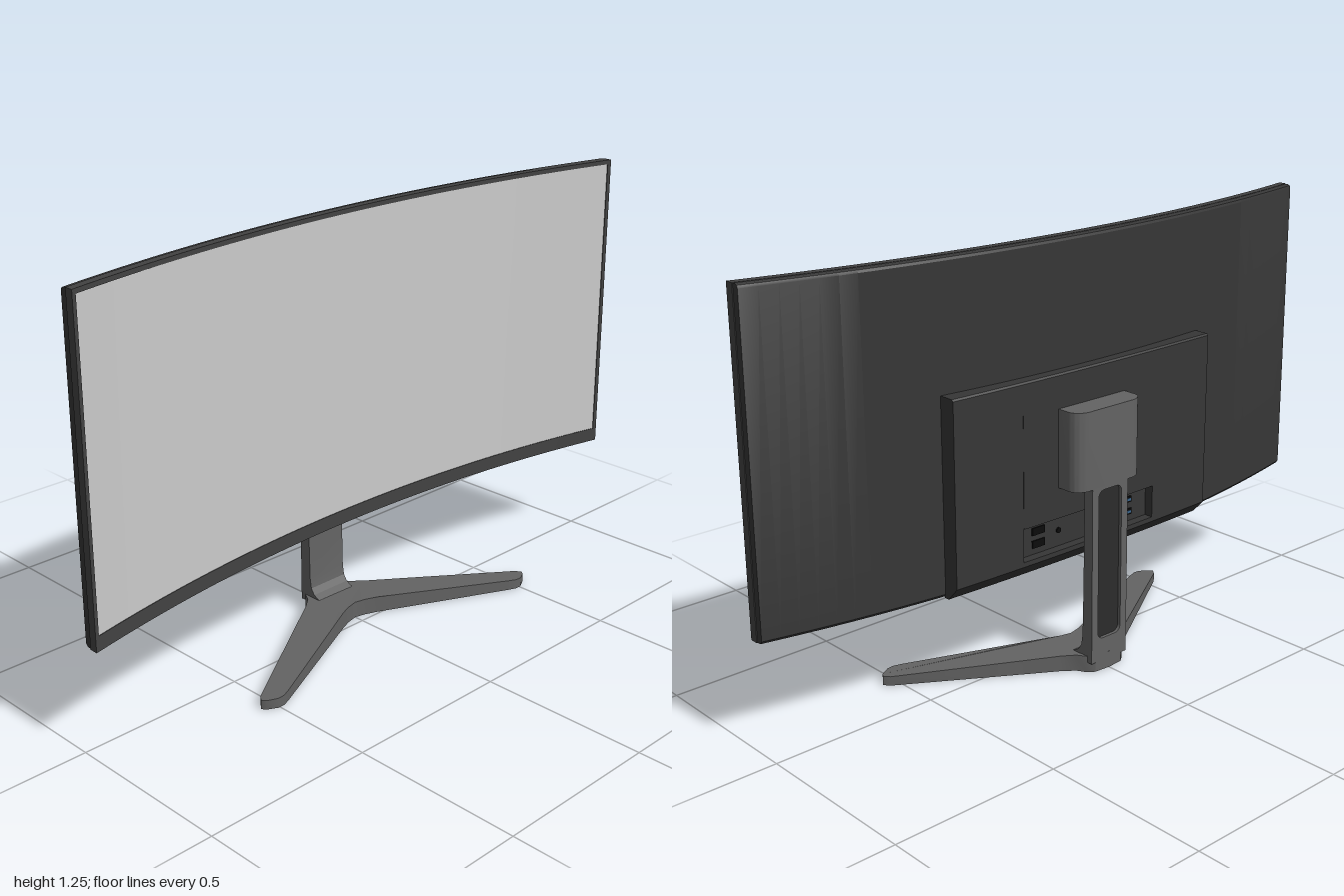
import * as THREE from 'three';
import { toCreasedNormals } from 'three/addons/utils/BufferGeometryUtils.js';

const material = (color) => new THREE.MeshStandardMaterial({ color });
const MAT = {
  screen: material(0xcccccc), bezel: material(0x424242), shell: material(0x363636),
  stand: material(0x636363), dark: material(0x2c2c2c), port: material(0x0c0c0c), blue: material(0x3c6a94),
};

// Circular curve of the display: forward offset at distance x from the middle
const RADIUS = 4.4;
const bend = (x) => RADIUS - Math.sqrt(RADIUS * RADIUS - x * x);

const shapeOf = (points) => new THREE.Shape(points.map(([x, y]) => new THREE.Vector2(x, y)));

function add(parent, name, geometry, mat) {
  const mesh = new THREE.Mesh(geometry, mat);
  mesh.name = name;
  parent.add(mesh);
  return mesh;
}

// Sweeps a [z, y] profile from x0 to x1, following the display curve scaled by amount
function sweep(profile, x0, x1, amount = 0, steps = 1) {
  const geometry = new THREE.ExtrudeGeometry(shapeOf(profile.map(([z, y]) => [-z, y])),
    { depth: x1 - x0, steps, bevelEnabled: false });
  geometry.rotateY(Math.PI / 2).translate(x0, 0, 0);
  const p = geometry.attributes.position;
  for (let i = 0; i < p.count; i++) p.setZ(i, p.getZ(i) + amount * bend(p.getX(i)));
  return toCreasedNormals(geometry, 0.4);
}

const rect = (z0, z1, y0, y1) => [[z0, y0], [z1, y0], [z1, y1], [z0, y1]];

function roundedRect(target, x0, x1, y0, y1, r) {
  target.moveTo(x0 + r, y0);
  target.lineTo(x1 - r, y0).absarc(x1 - r, y0 + r, r, -Math.PI / 2, 0);
  target.lineTo(x1, y1 - r).absarc(x1 - r, y1 - r, r, 0, Math.PI / 2);
  target.lineTo(x0 + r, y1).absarc(x0 + r, y1 - r, r, Math.PI / 2, Math.PI);
  target.lineTo(x0, y0 + r).absarc(x0 + r, y0 + r, r, Math.PI, Math.PI * 1.5);
  return target;
}

function buildDisplay() {
  const display = new THREE.Group();
  display.name = 'display';

  // Front frame: solid body with a thin raised lip around the screen
  add(display, 'frameBody', sweep(rect(-0.06, -0.039, 0.32, 1.245), -1, 1, 1, 40), MAT.bezel);
  add(display, 'topBezel', sweep(rect(-0.039, -0.035, 1.232, 1.245), -1, 1, 1, 40), MAT.bezel);
  add(display, 'bottomBezel', sweep(rect(-0.039, -0.035, 0.32, 0.362), -1, 1, 1, 40), MAT.bezel);
  for (const [name, x] of [['rightBezel', -1], ['leftBezel', 0.988]])
    add(display, name, sweep(rect(-0.039, -0.035, 0.362, 1.232), x, x + 0.012, 1), MAT.bezel);
  add(display, 'screen', sweep(rect(-0.039, -0.037, 0.362, 1.232), -0.988, 0.988, 1, 40), MAT.screen);

  // Rear shell with softened top and bottom edges
  const shell = [[-0.06, 0.321], [-0.074, 0.322], [-0.08, 0.33], [-0.08, 1.234], [-0.077, 1.241], [-0.07, 1.244], [-0.06, 1.244]];
  add(display, 'rearShell', sweep(shell, -0.998, 0.998, 1, 40), MAT.shell);

  // Rear housing in three runs; the middle one has the port recess cut in
  const lower = [[-0.06, 0.885], [-0.06, 0.319], [-0.077, 0.319], [-0.113, 0.358]];
  const upper = [[-0.115, 0.88], [-0.11, 0.885]];
  const recess = [[-0.113, 0.372], [-0.085, 0.372], [-0.085, 0.47], [-0.115, 0.47]];
  add(display, 'housingRight', sweep([...lower, ...upper], -0.48, -0.25, 0.4, 5), MAT.shell);
  add(display, 'housingMiddle', sweep([...lower, ...recess, ...upper], -0.25, 0.25, 0.4, 10), MAT.shell);
  add(display, 'housingLeft', sweep([...lower, ...upper], 0.25, 0.48, 0.4, 5), MAT.shell);

  // Sockets in the recess
  for (const y of [0.402, 0.44]) {
    add(display, 'videoPort', new THREE.BoxGeometry(0.045, 0.022, 0.006), MAT.port).position.set(0.175, y, -0.085);
    add(display, 'dataPort', new THREE.BoxGeometry(0.045, 0.018, 0.006), MAT.port).position.set(-0.165, y, -0.085);
    add(display, 'dataPortTongue', new THREE.BoxGeometry(0.036, 0.007, 0.004), MAT.blue).position.set(-0.165, y, -0.088);
  }
  const jack = add(display, 'audioJack', new THREE.CylinderGeometry(0.008, 0.008, 0.006, 16), MAT.port);
  jack.rotation.x = Math.PI / 2;
  jack.position.set(0.1, 0.42, -0.086);
  return display;
}

function buildStand() {
  const stand = new THREE.Group();
  stand.name = 'stand';

  // Mounting head, rounded at the rear corners (plan drawn with y as -z)
  const plan = new THREE.Shape();
  plan.moveTo(-0.125, 0.11);
  plan.lineTo(0.125, 0.11);
  plan.lineTo(0.125, 0.155);
  plan.quadraticCurveTo(0.122, 0.185, 0.085, 0.192);
  plan.lineTo(-0.085, 0.192);
  plan.quadraticCurveTo(-0.122, 0.185, -0.125, 0.155);
  const head = new THREE.ExtrudeGeometry(plan, { depth: 0.227, bevelEnabled: false, curveSegments: 8 });
  head.rotateX(-Math.PI / 2).translate(0, 0.56, 0);
  add(stand, 'mountingHead', toCreasedNormals(head, 0.5), MAT.stand);

  // Column front, flaring forward into the base
  const front = [[-0.176, 0.03], [-0.1, 0.03], [-0.115, 0.05], [-0.135, 0.06], [-0.147, 0.078],
    [-0.152, 0.11], [-0.155, 0.25], [-0.158, 0.565], [-0.176, 0.565]];
  add(stand, 'columnFront', sweep(front, -0.068, 0.068), MAT.stand);

  // Column back with a long cable channel
  const back = shapeOf([[-0.068, 0.03], [0.068, 0.03], [0.068, 0.565], [-0.068, 0.565]]);
  back.holes.push(roundedRect(new THREE.Path(), -0.044, 0.044, 0.1, 0.55, 0.02));
  const backGeometry = new THREE.ExtrudeGeometry(back, { depth: 0.015, bevelEnabled: false, curveSegments: 6 });
  add(stand, 'columnBack', backGeometry.translate(0, 0, -0.19), MAT.stand);
  const channel = new THREE.ExtrudeGeometry(roundedRect(new THREE.Shape(), -0.044, 0.044, 0.1, 0.55, 0.02),
    { depth: 0.004, bevelEnabled: false, curveSegments: 6 });
  add(stand, 'cableChannel', channel.translate(0, 0, -0.18), MAT.dark);

  // V-shaped base; the top slopes down towards both tips
  const half = [[0.035, -0.022], [0.07, -0.008], [0.46, 0.178], [0.485, 0.188], [0.505, 0.188], [0.535, 0.172],
    [0.543, 0.16], [0.53, 0.143], [0.25, -0.035], [0.12, -0.117], [0.085, -0.145], [0.07, -0.172], [0.05, -0.187]];
  const mirrored = half.map(([x, z]) => [-x, z]).reverse();
  const outline = [[0, -0.03], ...half, [0, -0.191], ...mirrored].map(([x, z]) => [x, -z]);
  const base = new THREE.ExtrudeGeometry(shapeOf(outline), { depth: 0.05, bevelEnabled: false });
  base.rotateX(-Math.PI / 2);
  const p = base.attributes.position;
  for (let i = 0; i < p.count; i++) {
    const t = Math.max(0, Math.abs(p.getX(i)) - 0.07) / 0.473;
    if (p.getY(i) > 0.025) p.setY(i, 0.05 - 0.023 * t);
  }
  add(stand, 'base', toCreasedNormals(base, 0.5), MAT.stand);
  return stand;
}

export function createModel() {
  const model = new THREE.Group();
  model.name = 'curvedMonitor';
  model.add(buildDisplay(), buildStand());
  return model;
}
